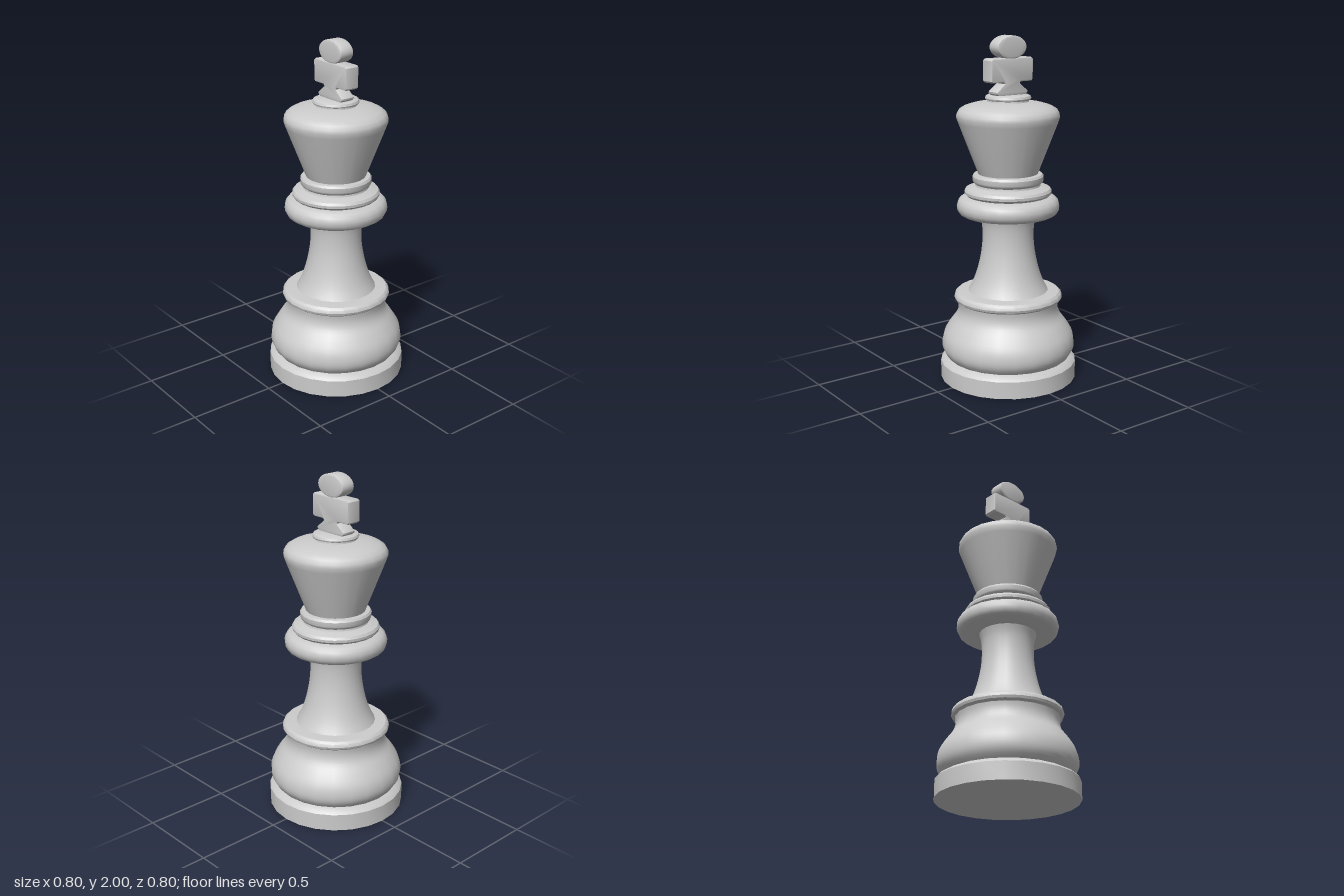
import * as THREE from 'three';
import { toCreasedNormals } from 'three/addons/utils/BufferGeometryUtils.js';

const SIDES = 24;
const material = new THREE.MeshStandardMaterial({ color: 0xcccccc });

function addMesh(group, name, geometry, crease = 0.6) {
  const mesh = new THREE.Mesh(toCreasedNormals(geometry, crease), material);
  mesh.name = name;
  group.add(mesh);
  return mesh;
}

// Turned part from [radius, height] pairs, bottom to top
function turned(group, name, profile) {
  const points = profile.map(([r, y]) => new THREE.Vector2(r, y));
  return addMesh(group, name, new THREE.LatheGeometry(points, SIDES));
}

// Smooth curve through [radius, height] pairs
function smooth(pairs, steps) {
  const curve = new THREE.SplineCurve(pairs.map(([r, y]) => new THREE.Vector2(r, y)));
  return curve.getPoints(steps).map((p) => [p.x, p.y]);
}

// Flat bevelled plate centred on z = 0
function plate(group, name, shape) {
  const half = 0.045, bevel = 0.01;
  const geometry = new THREE.ExtrudeGeometry(shape, {
    depth: 2 * (half - bevel), bevelEnabled: true, bevelThickness: bevel,
    bevelSize: bevel, bevelOffset: -bevel, bevelSegments: 2, curveSegments: 16,
  });
  geometry.translate(0, 0, -(half - bevel));
  return addMesh(group, name, geometry);
}

export function createModel() {
  const group = new THREE.Group();
  group.name = 'chessKing';

  // Foot disc
  turned(group, 'foot', [[0, 0], [0.4, 0], [0.4, 0.1], [0.39, 0.112], [0.355, 0.13], [0, 0.13]]);

  // Rounded base rising to a concave neck
  turned(group, 'base', smooth([
    [0.355, 0.125], [0.383, 0.165], [0.391, 0.21], [0.38, 0.265],
    [0.345, 0.325], [0.305, 0.38], [0.292, 0.43], [0.298, 0.48],
  ], 20));

  // Ledge above the base
  turned(group, 'baseLedge', [
    [0.296, 0.465], [0.312, 0.476], [0.317, 0.49], [0.312, 0.508], [0.298, 0.52], [0.235, 0.526], [0, 0.526],
  ]);

  // Flared stem
  turned(group, 'stem', smooth([
    [0.235, 0.522], [0.205, 0.58], [0.178, 0.66], [0.157, 0.76],
    [0.149, 0.85], [0.153, 0.93], [0.168, 0.985],
  ], 16));

  // Stacked collar rings
  turned(group, 'lowerCollar', [
    [0, 0.98], [0.265, 0.98], [0.284, 0.992], [0.294, 1.012], [0.297, 1.035],
    [0.29, 1.06], [0.275, 1.078], [0.25, 1.088], [0.21, 1.092], [0, 1.092],
  ]);
  turned(group, 'middleCollar', [
    [0.215, 1.085], [0.24, 1.093], [0.251, 1.105], [0.252, 1.12], [0.243, 1.134], [0.21, 1.145], [0.193, 1.15], [0, 1.15],
  ]);
  turned(group, 'upperCollar', [
    [0.19, 1.145], [0.187, 1.16], [0.2, 1.17], [0.204, 1.18], [0.205, 1.205], [0.197, 1.217], [0.17, 1.22], [0, 1.22],
  ]);

  // Tapered head with a domed top
  turned(group, 'head', [
    [0.17, 1.215], [0.285, 1.515], [0.295, 1.545], [0.293, 1.565], [0.28, 1.587],
    [0.25, 1.605], [0.2, 1.62], [0.12, 1.632], [0, 1.632],
  ]);

  // Button under the cross
  turned(group, 'crownButton', [
    [0.12, 1.622], [0.117, 1.64], [0.129, 1.644], [0.132, 1.652], [0.127, 1.664], [0.115, 1.67], [0, 1.67],
  ]);

  // Cross: flared foot and wide bar, right half mirrored
  const right = [
    [0.085, 1.662], [0.107, 1.68], [0.109, 1.69], [0.053, 1.734], [0.06, 1.742], [0.134, 1.742],
    [0.145, 1.752], [0.145, 1.866], [0.134, 1.876],
  ];
  const left = right.map(([x, y]) => [-x, y]).reverse();
  const outline = [...right, ...left].map(([x, y]) => new THREE.Vector2(x, y));
  plate(group, 'crossBar', new THREE.Shape(outline));

  // Oval top of the cross
  const oval = new THREE.Shape();
  oval.absellipse(0, 1.935, 0.1, 0.065, 0, Math.PI * 2, false, 0);
  plate(group, 'crossTop', oval);

  return group;
}
